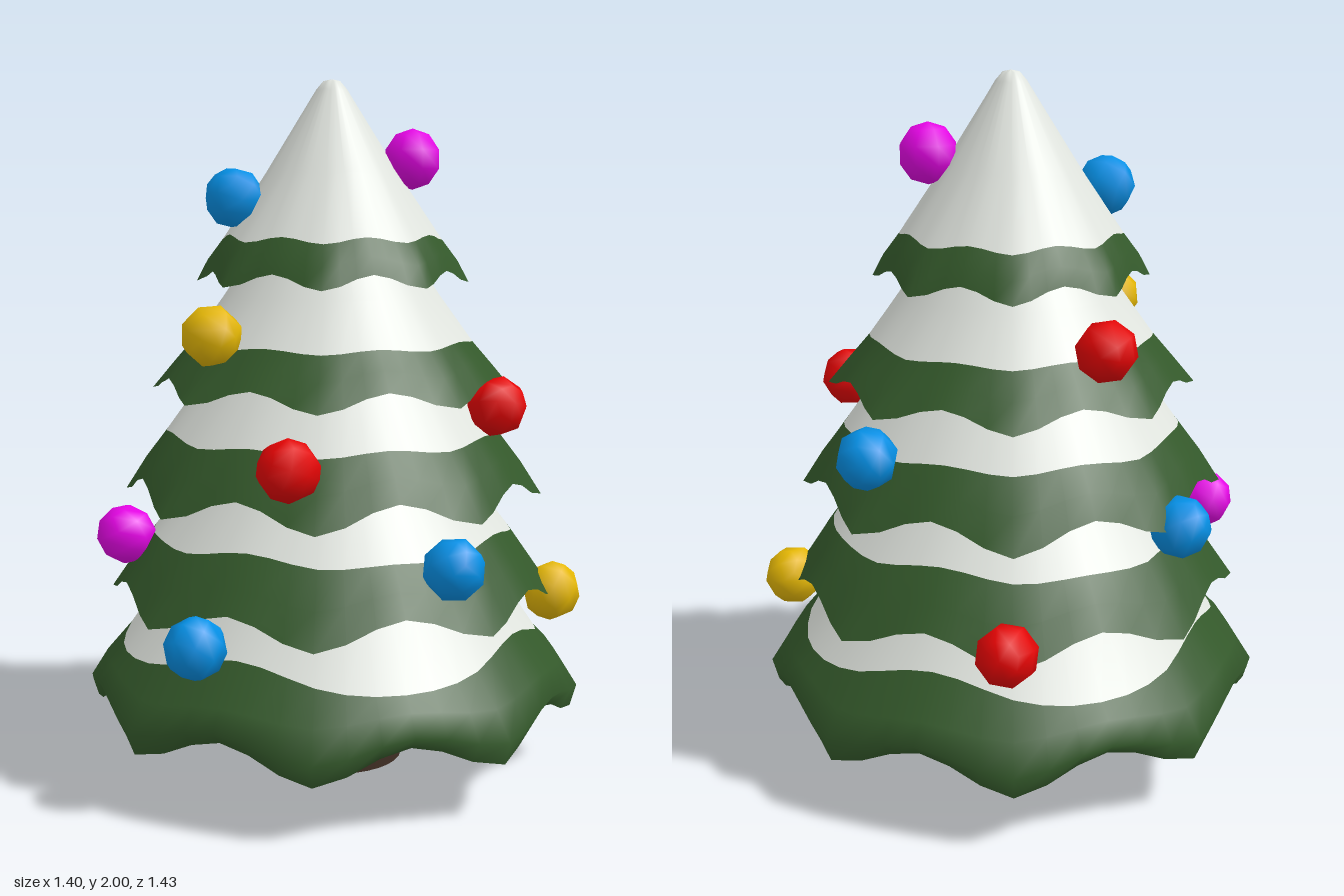
import * as THREE from 'three';

const mat = (name, color, side = THREE.FrontSide) => {
  const m = new THREE.MeshStandardMaterial({ color, side });
  m.name = name;
  return m;
};

const SEGMENTS = 48;
const STEP = Math.PI / 4; // eight lobes per tier

// Open skirt: rows of [radius, height] from top to rim. The rows from
// snowRows onward are green. Eight lobes grow towards the rim, each
// reaching out by the share flare and drooping by wave. The edge of the
// snow runs up and down four times by drift.
function skirt({ rows, snowRows, wave, flare, drift }) {
  const pos = [], index = [];
  rows.forEach(([r, y], i) => {
    const w = (i / (rows.length - 1)) ** 2;
    for (let j = 0; j < SEGMENTS; j++) {
      const a = (j / SEGMENTS) * Math.PI * 2;
      const m = a % STEP;
      const t = Math.min(m, STEP - m) / (STEP / 2); // 0 between lobes, 1 at a lobe
      const snowEdge = i === snowRows ? drift * Math.cos(4 * a) : 0;
      const rr = r * (1 + w * flare * t * t) - snowEdge * 0.7;
      const yy = y + w * wave * Math.cos(Math.PI * t) + snowEdge;
      pos.push(rr * Math.sin(a), yy, rr * Math.cos(a));
    }
  });
  for (let i = 0; i < rows.length - 1; i++) {
    for (let j = 0; j < SEGMENTS; j++) {
      const k = (j + 1) % SEGMENTS;
      const a = i * SEGMENTS + j, b = i * SEGMENTS + k;
      const c = a + SEGMENTS, d = b + SEGMENTS;
      index.push(a, c, b, b, c, d);
    }
  }
  const g = new THREE.BufferGeometry();
  g.setAttribute('position', new THREE.Float32BufferAttribute(pos, 3));
  g.setIndex(index);
  const split = snowRows * SEGMENTS * 6;
  g.addGroup(0, split, 0);
  g.addGroup(split, index.length - split, 1);
  g.computeVertexNormals();
  return g;
}

export function createModel() {
  const tree = new THREE.Group();
  tree.name = 'snowyTree';

  const snow = mat('snow white', 0xe0e4de, THREE.DoubleSide);
  const green = mat('needle green', 0x34592b, THREE.DoubleSide);
  const bark = mat('bark brown', 0x3e2d23);
  const red = mat('bauble red', 0xe60404);
  const blue = mat('bauble blue', 0x0490e6);
  const gold = mat('bauble gold', 0xe6b804);
  const magenta = mat('bauble magenta', 0xe604e6);

  // Trunk
  const trunk = new THREE.Mesh(new THREE.CylinderGeometry(0.205, 0.205, 0.31, 32), bark);
  trunk.name = 'trunk';
  trunk.position.set(0.008, 0.155, -0.02);
  tree.add(trunk);

  // Branch tiers, bottom to top
  const tiers = [
    { rows: [[0.36, 0.76], [0.5, 0.55], [0.6, 0.4], [0.665, 0.32], [0.7, 0.25], [0.665, 0.2]],
      snowRows: 2, wave: 0.04, flare: 0.075, drift: 0.035 },
    { rows: [[0.28, 1.04], [0.4, 0.86], [0.52, 0.705], [0.575, 0.62], [0.62, 0.54]],
      snowRows: 2, wave: 0.035, flare: 0.07, drift: 0.01 },
    { rows: [[0.2, 1.38], [0.36, 1.165], [0.48, 0.995], [0.53, 0.92], [0.568, 0.84]],
      snowRows: 2, wave: 0.035, flare: 0.085, drift: 0 },
    { rows: [[0.12, 1.68], [0.31, 1.39], [0.4, 1.26], [0.445, 1.2], [0.487, 1.135]],
      snowRows: 2, wave: 0.025, flare: 0.09, drift: 0 },
    { rows: [[0, 2], [0.025, 1.994], [0.045, 1.97], [0.19, 1.735], [0.305, 1.555], [0.34, 1.5], [0.36, 1.445]],
      snowRows: 4, wave: 0.02, flare: 0.1, drift: 0 },
  ];
  tiers.forEach((spec, i) => {
    const tier = new THREE.Mesh(skirt(spec), [snow, green]);
    tier.name = `branchTier${i + 1}`;
    tier.position.set(0.006, 0, -0.015);
    tree.add(tier);
  });

  // Baubles
  const ball = new THREE.SphereGeometry(0.087, 8, 5);
  const baubles = [
    [magenta, 0.21, 1.775, -0.125],
    [blue, -0.205, 1.665, 0.18],
    [red, -0.365, 1.295, -0.255],
    [gold, -0.157, 1.295, 0.395],
    [red, 0.505, 1.085, -0.06],
    [blue, 0.22, 1.005, -0.525],
    [red, 0.147, 0.965, 0.52],
    [blue, -0.563, 0.8, -0.185],
    [magenta, -0.487, 0.695, 0.34],
    [blue, 0.53, 0.695, 0.305],
    [red, -0.23, 0.55, -0.63],
    [gold, 0.605, 0.51, -0.275],
    [blue, -0.075, 0.485, 0.635],
  ];
  baubles.forEach(([material, x, y, z], i) => {
    const bauble = new THREE.Mesh(ball, material);
    bauble.name = `bauble${i + 1}`;
    bauble.position.set(x, y, z);
    bauble.rotation.set(0.5 * i, 0.9 * i, 0.3 * i);
    tree.add(bauble);
  });

  return tree;
}
